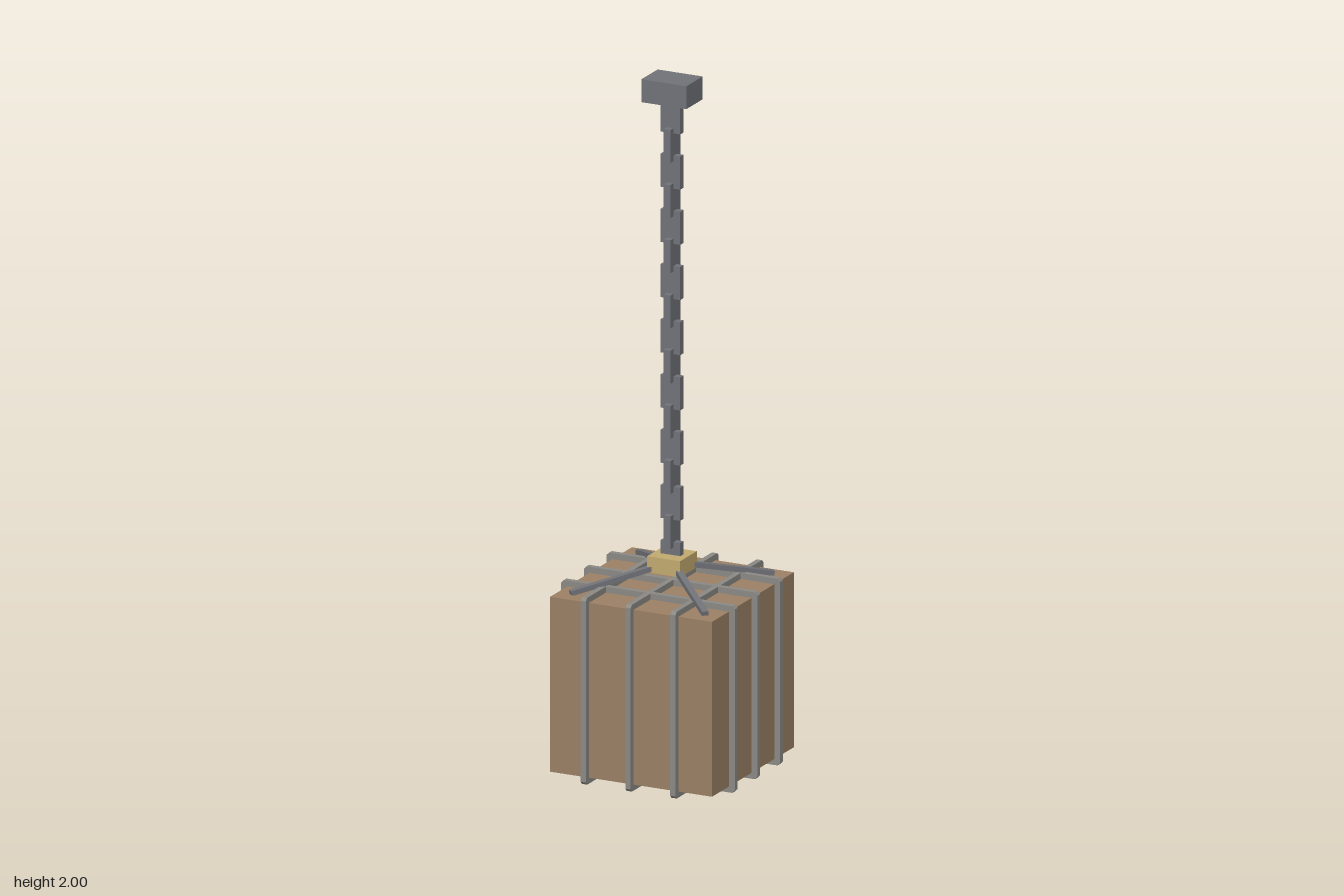
import * as THREE from 'three';

const mat = (name, color) => {
  const m = new THREE.MeshStandardMaterial({ color });
  m.name = name;
  return m;
};

export function createModel() {
  const group = new THREE.Group();
  const wood = mat('crate wood', 0x9b8064);
  const iron = mat('dark iron', 0x707278);
  const steel = mat('strap steel', 0x8b8984);
  const brass = mat('brass', 0xc2aa70);

  const add = (name, geometry, material, x = 0, y = 0, z = 0) => {
    const mesh = new THREE.Mesh(geometry, material);
    mesh.name = name;
    mesh.position.set(x, y, z);
    group.add(mesh);
    return mesh;
  };
  const box = (name, w, h, d, material, y) =>
    add(name, new THREE.BoxGeometry(w, h, d), material, 0, y, 0);

  // Ceiling mount, crate and the two brass blocks
  box('ceilingMount', 0.137, 0.065, 0.098, iron, 1.9675);
  box('crate', 0.492, 0.498, 0.492, wood, 0.308);
  box('topCoupling', 0.1, 0.046, 0.1, brass, 0.622);
  box('bottomPlug', 0.07, 0.045, 0.07, brass, 0.0225);

  // Chain of flat links, each turned a quarter from the last
  for (let i = 0; i < 17; i++) {
    const link = box('chainLink', 0.06, 0.094, 0.02, iron, 1.893 - i * 0.0786);
    link.rotation.y = (i % 2) * Math.PI / 2;
  }

  // Closed strap band with chamfered corners, wrapped around the crate
  const outline = (path, w, h, c) => {
    path.moveTo(-w + c, -h);
    path.lineTo(w - c, -h);
    path.lineTo(w, -h + c);
    path.lineTo(w, h - c);
    path.lineTo(w - c, h);
    path.lineTo(-w + c, h);
    path.lineTo(-w, h - c);
    path.lineTo(-w, -h + c);
    path.closePath();
    return path;
  };
  const band = outline(new THREE.Shape(), 0.264, 0.266, 0.008);
  band.holes.push(outline(new THREE.Path(), 0.245, 0.248, 0.001));
  const bandGeo = new THREE.ExtrudeGeometry(band, { depth: 0.016, bevelEnabled: false });
  bandGeo.translate(0, 0, -0.008);
  for (const p of [-0.136, 0, 0.136]) {
    add('crossStrap', bandGeo, steel, 0, 0.308, p);
    add('lengthStrap', bandGeo, steel, p, 0.308, 0).rotation.y = Math.PI / 2;
  }

  // Sloping rods from the coupling to the crate corners
  for (const sx of [-1, 1]) for (const sz of [-1, 1]) {
    const a = new THREE.Vector3(sx * 0.02, 0.616, sz * 0.02);
    const b = new THREE.Vector3(sx * 0.205, 0.562, sz * 0.205);
    const rod = add('cornerRod', new THREE.BoxGeometry(0.018, 0.014, a.distanceTo(b)), iron);
    rod.position.copy(a).lerp(b, 0.5);
    rod.lookAt(b);
  }
  return group;
}
